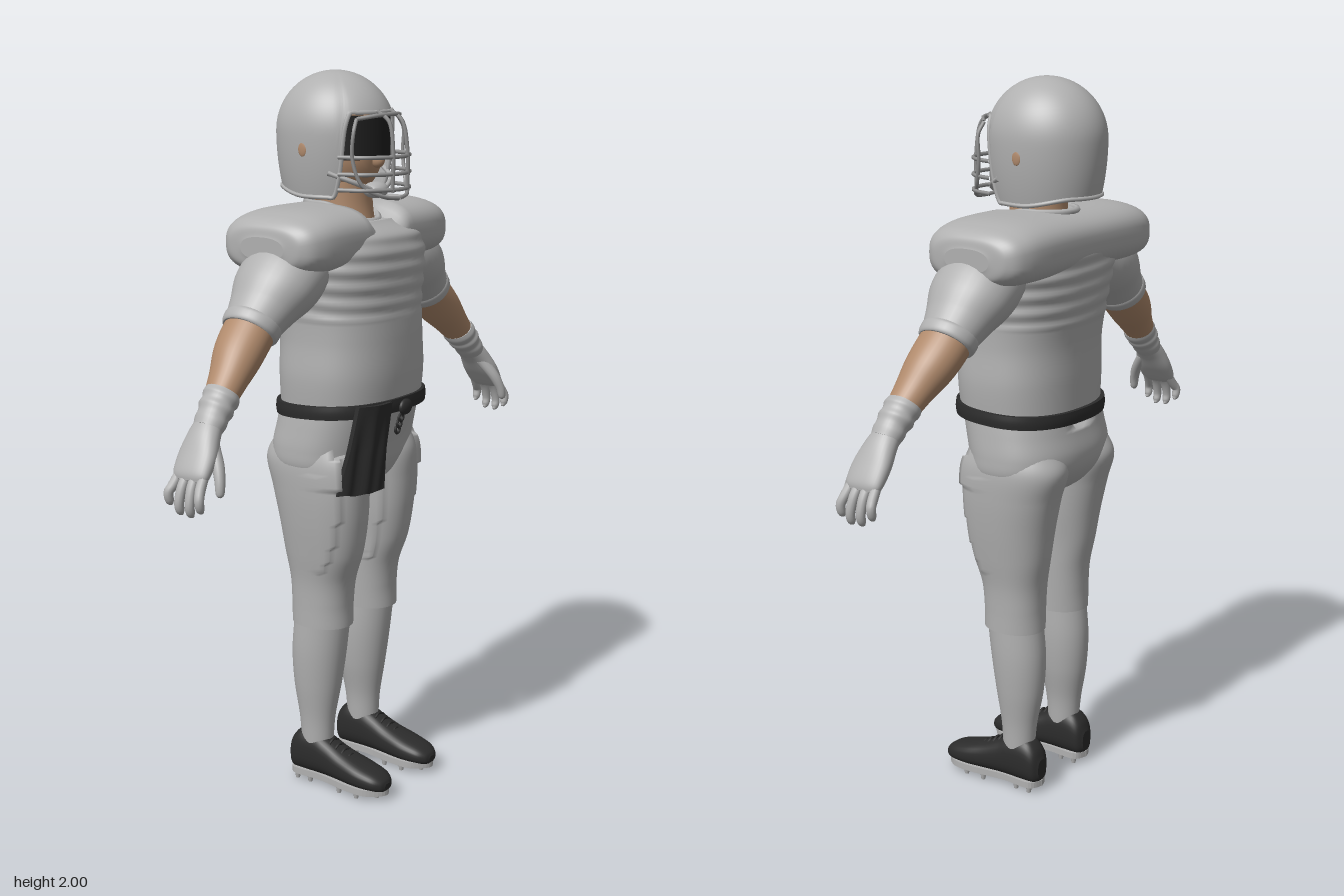
import * as THREE from 'three';

const mat = (name, color, double = false) => {
  const m = new THREE.MeshStandardMaterial({ color, side: double ? THREE.DoubleSide : THREE.FrontSide });
  m.name = name;
  return m;
};
const X = new THREE.Vector3(1, 0, 0), Z = new THREE.Vector3(0, 0, 1);
const V = (x, y, z) => new THREE.Vector3(x, y, z);
const step = (a, b, v) => THREE.MathUtils.smoothstep(v, a, b);

// Smooth loft through keys [x, y, z, halfU, halfV, roundness]; rings face the path, or a fixed direction.
function loft(keys, u, { rings = 32, segs = 32, dir = null, bend = null } = {}) {
  const path = new THREE.CatmullRomCurve3(keys.map(k => V(k[0], k[1], k[2])), false, 'catmullrom');
  const size = new THREE.CatmullRomCurve3(keys.map(k => V(k[3], k[4], k[5] ?? 2)), false, 'catmullrom');
  const pos = [], idx = [];
  const pw = (c, p) => Math.sign(c) * Math.abs(c) ** (2 / p);
  for (let i = 0; i <= rings; i++) {
    const c = path.getPoint(i / rings), r = size.getPoint(i / rings);
    const v = u.clone().cross(dir ?? path.getTangent(i / rings)).normalize();
    for (let j = 0; j < segs; j++) {
      const a = j / segs * Math.PI * 2;
      const p = c.clone().addScaledVector(u, r.x * pw(Math.cos(a), r.z)).addScaledVector(v, r.y * pw(Math.sin(a), r.z));
      if (bend) bend(p);
      pos.push(p.x, p.y, p.z);
    }
  }
  for (let i = 0; i < rings; i++) for (let j = 0; j < segs; j++) {
    const a = i * segs + j, b = i * segs + (j + 1) % segs, c = a + segs, d = b + segs;
    idx.push(a, c, b, b, c, d);
  }
  // end caps with their own vertices
  for (const end of [0, rings]) {
    const start = pos.length / 3, mid = V(0, 0, 0);
    for (let j = 0; j < segs; j++) {
      const k = (end * segs + j) * 3;
      pos.push(pos[k], pos[k + 1], pos[k + 2]);
      mid.add(V(pos[k], pos[k + 1], pos[k + 2]));
    }
    mid.divideScalar(segs);
    pos.push(mid.x, mid.y, mid.z);
    for (let j = 0; j < segs; j++) {
      const a = start + j, b = start + (j + 1) % segs;
      end ? idx.push(start + segs, b, a) : idx.push(start + segs, a, b);
    }
  }
  const g = new THREE.BufferGeometry();
  g.setAttribute('position', new THREE.Float32BufferAttribute(pos, 3));
  g.setIndex(idx);
  g.computeVertexNormals();
  return g;
}
const tube = (pts, r, closed = false, n = 32) =>
  new THREE.TubeGeometry(new THREE.CatmullRomCurve3(pts.map(p => V(...p)), closed), n, r, 6, closed);

// Helmet dome: rows run from the crown to an edge that rises over the face
function helmetPoint(phi, s) {
  const f = Math.abs(phi);
  const low = THREE.MathUtils.lerp(1.895, 1.675 + 0.02 * step(1.6, 2.6, f), step(0.78, 1.02, f));
  const end = low > 1.84 ? Math.acos((low - 1.84) / 0.16) : Math.PI / 2 + (1.84 - low) / 0.16;
  const w = s * end, over = w - Math.PI / 2;
  const r = over < 0 ? Math.sin(w) : 1 - 0.13 * (over / 1.06) ** 2;
  return V(0.146 * r * Math.sin(phi), over < 0 ? 1.84 + 0.16 * Math.cos(w) : 1.84 - 0.16 * over, -0.047 + 0.167 * r * Math.cos(phi));
}
function helmetGeometry(cols = 120, rows = 28) {
  const pos = [], idx = [];
  for (let i = 0; i <= rows; i++) for (let j = 0; j < cols; j++)
    pos.push(...helmetPoint((j / cols - 0.5) * Math.PI * 2, i / rows));
  for (let i = 0; i < rows; i++) for (let j = 0; j < cols; j++) {
    const a = i * cols + j, b = i * cols + (j + 1) % cols, c = a + cols, d = b + cols;
    idx.push(a, c, b, b, c, d);
  }
  const g = new THREE.BufferGeometry();
  g.setAttribute('position', new THREE.Float32BufferAttribute(pos, 3));
  g.setIndex(idx);
  g.computeVertexNormals();
  return g;
}

export function createModel() {
  const root = new THREE.Group();
  root.name = 'footballPlayer';
  const gray = mat('uniformGray', 0xb0b0b0, true), skin = mat('skin', 0xb08a6c);
  const black = mat('black', 0x2c2c2c, true), visorMat = mat('visorDark', 0x1e1e1e, true);
  const steel = mat('maskGray', 0x909090);
  const add = (name, geo, m, parent = root) => {
    const mesh = new THREE.Mesh(geo, m);
    mesh.name = name;
    parent.add(mesh);
    return mesh;
  };
  const ball = (name, m, p, s, parent) => {
    const b = add(name, new THREE.SphereGeometry(1, 24, 16), m, parent);
    b.position.set(...p);
    b.scale.set(...s);
  };
  const up = V(0, 1, 0);

  // Jersey body with folds above the belt
  add('jersey', loft([[0, 1.1, 0.005, 0.208, 0.165, 2.4], [0, 1.2, 0.008, 0.215, 0.17, 2.4], [0, 1.3, 0.006, 0.21, 0.17, 2.4],
    [0, 1.4, -0.004, 0.214, 0.174, 2.5], [0, 1.5, -0.01, 0.228, 0.181, 2.6], [0, 1.57, -0.018, 0.22, 0.172, 2.6],
    [0, 1.61, -0.03, 0.17, 0.13, 2.5]], X, { rings: 80, segs: 56, dir: up, bend: p => {
    const k = 1 + 0.013 * step(1.36, 1.22, p.y) * Math.sin(p.y * 140 + p.x * 6 + Math.sin(p.z * 12));
    p.x *= k; p.z *= k;
  } }), gray);
  // Shoulder pads under the jersey, dipping at the neck
  add('shoulderPads', loft([[-0.338, 1.56, -0.035, 0.07, 0.03, 2.4], [-0.328, 1.562, -0.035, 0.12, 0.058, 2.6], [-0.29, 1.565, -0.034, 0.153, 0.076, 2.8],
    [-0.2, 1.57, -0.032, 0.168, 0.085, 2.8], [0, 1.572, -0.03, 0.168, 0.083, 2.8], [0.2, 1.57, -0.032, 0.168, 0.085, 2.8],
    [0.29, 1.565, -0.034, 0.153, 0.076, 2.8], [0.328, 1.562, -0.035, 0.12, 0.058, 2.6], [0.338, 1.56, -0.035, 0.07, 0.03, 2.4]],
  Z, { rings: 96, segs: 48, dir: X, bend: p => {
    if (p.y > 1.57) p.y -= 0.055 * Math.max(0, 1 - (p.x / 0.085) ** 2) * step(-0.03, 0.07, p.z);
  } }), gray);
  add('collar', tube([...Array(16)].map((_, i) => {
    const a = i / 16 * Math.PI * 2, z = Math.cos(a);
    return [Math.sin(a) * 0.082, 1.652 - 0.045 * step(0.1, 1, z), -0.025 + z * 0.105];
  }), 0.009, true, 64), gray);

  // Head and neck
  add('neck', loft([[0, 1.57, -0.02, 0.078, 0.095], [0, 1.65, -0.02, 0.075, 0.08], [0, 1.74, -0.02, 0.075, 0.08]], X, { dir: up }), skin);
  ball('head', skin, [0, 1.79, -0.022], [0.095, 0.125, 0.112]);
  ball('nose', skin, [0, 1.77, 0.09], [0.016, 0.022, 0.022]);

  // Helmet
  const helmet = new THREE.Group();
  helmet.name = 'helmet';
  root.add(helmet);
  add('helmetShell', helmetGeometry(), gray, helmet);
  add('helmetRim', tube([...Array(60)].map((_, i) => [...helmetPoint((i / 60 - 0.5) * Math.PI * 2, 1)]), 0.006, true, 160), gray, helmet);
  const visor = add('visor', new THREE.CylinderGeometry(1, 1, 0.115, 32, 1, true, -1.05, 2.1), visorMat, helmet);
  visor.scale.set(0.122, 1, 0.142);
  visor.position.set(0, 1.83, -0.033);
  ball('chinCup', gray, [0, 1.69, 0.085], [0.04, 0.022, 0.032], helmet);
  for (const y of [1.782, 1.738, 1.697])
    add('maskBar', tube([[-0.122, y, 0.05], [-0.1, y, 0.115], [-0.055, y, 0.155], [0, y, 0.168], [0.055, y, 0.155], [0.1, y, 0.115], [0.122, y, 0.05]], 0.0055), steel, helmet);
  add('maskTopBar', tube([[-0.095, 1.88, 0.09], [-0.05, 1.888, 0.125], [0, 1.89, 0.135], [0.05, 1.888, 0.125], [0.095, 1.88, 0.09]], 0.0055), steel, helmet);
  for (const s of [-1, 1]) {
    add('maskUpright', tube([[s * 0.03, 1.898, 0.112], [s * 0.03, 1.872, 0.148], [s * 0.033, 1.8, 0.163], [s * 0.035, 1.69, 0.163]], 0.0055), steel, helmet);
    add('maskFrame', tube([[s * 0.095, 1.88, 0.09], [s * 0.114, 1.85, 0.095], [s * 0.116, 1.78, 0.092], [s * 0.1, 1.71, 0.112], [s * 0.055, 1.68, 0.148], [0, 1.672, 0.16]], 0.0055), steel, helmet);
    add('chinStrap', tube([[s * 0.03, 1.692, 0.095], [s * 0.085, 1.715, 0.075], [s * 0.127, 1.74, 0.02]], 0.007), gray, helmet);
    ball('earHole', skin, [s * 0.143, 1.8, -0.05], [0.004, 0.02, 0.014], helmet);
  }

  // Hips with a cleft at the back
  add('pantsHips', loft([[0, 0.865, -0.02, 0.1, 0.06], [0, 0.9, -0.018, 0.185, 0.115, 2.3], [0, 0.95, -0.024, 0.217, 0.148, 2.4],
    [0, 1.0, -0.023, 0.221, 0.158, 2.4], [0, 1.06, -0.01, 0.215, 0.16, 2.4], [0, 1.12, 0.003, 0.207, 0.163, 2.4]],
  X, { rings: 40, segs: 64, dir: up, bend: p => {
    if (p.z < 0) p.z += 0.035 * Math.exp(-((p.x / 0.028) ** 2)) * step(1.07, 0.98, p.y);
  } }), gray);
  // Belt, knot and hanging lace
  add('belt', loft([[0, 1.094, 0.006, 0.221, 0.177, 2.4], [0, 1.112, 0.006, 0.223, 0.179, 2.4], [0, 1.13, 0.006, 0.221, 0.177, 2.4]],
    X, { rings: 4, segs: 64, dir: up, bend: p => { p.y += 0.05 * p.z; } }), black);
  ball('beltKnot', black, [0, 1.112, 0.186], [0.028, 0.022, 0.012]);
  for (let i = 0; i < 3; i++) {
    const loop = add('beltLace', new THREE.TorusGeometry(0.01, 0.004, 6, 14), black);
    loop.position.set(0, 1.08 - i * 0.018, 0.172 - i * 0.006);
  }
  // Towel hanging from the belt
  const towel = new THREE.BoxGeometry(1, 0.25, 0.012, 24, 16, 1), tp = towel.attributes.position;
  for (let i = 0; i < tp.count; i++) {
    const d = 0.125 - tp.getY(i), x = -0.122 + tp.getX(i) * (0.105 + 0.16 * d);
    const fold = 0.006 * Math.sin(x * 130) * Math.min(1, d * 8);
    tp.setXYZ(i, x, 1.138 - d + fold * 0.5, 0.185 - 0.15 * d - 6 * Math.min(0, x + 0.1) ** 2 + fold + tp.getZ(i));
  }
  towel.computeVertexNormals();
  add('towel', towel, black);

  for (const s of [-1, 1]) {
    const side = s > 0 ? 'left' : 'right';
    // Leg with thigh and knee pads
    const leg = new THREE.Group();
    leg.name = side + 'Leg';
    root.add(leg);
    add('pantsLeg', loft([[0.11, 1.02, -0.025, 0.095, 0.13], [0.113, 0.96, -0.026, 0.106, 0.155, 2.1], [0.114, 0.88, -0.015, 0.104, 0.143, 2.2],
      [0.112, 0.79, -0.008, 0.098, 0.13, 2.2], [0.11, 0.7, -0.008, 0.088, 0.115, 2.2], [0.106, 0.62, -0.014, 0.08, 0.094, 2.2],
      [0.106, 0.55, -0.016, 0.076, 0.088, 2.2], [0.107, 0.487, -0.016, 0.074, 0.089, 2.1]].map(([x, ...k]) => [s * x, ...k]),
    X, { rings: 90, segs: 48, dir: V(0, -1, 0), bend: p => {
      if (p.z < 0.02) return;
      const dx = Math.abs(p.x - s * 0.11), across = step(0.075, 0.05, dx);
      p.z += across * (0.012 * step(0.67, 0.72, p.y) * step(0.9, 0.85, p.y) + 0.012 * step(0.5, 0.53, p.y) * step(0.64, 0.61, p.y));
    } }), gray);
    add('sock', loft([[0.107, 0.51, -0.016, 0.069, 0.083], [0.107, 0.4, -0.028, 0.069, 0.081], [0.108, 0.3, -0.033, 0.061, 0.071],
      [0.111, 0.2, -0.033, 0.046, 0.054], [0.112, 0.12, -0.032, 0.041, 0.047]].map(([x, ...k]) => [s * x, ...k]), X, { dir: V(0, -1, 0) }), gray);
    // Shoe, sole and cleats
    add('shoe', loft([[-0.114, 0.07, 0.02, 0.03], [-0.1, 0.08, 0.037, 0.053], [-0.07, 0.091, 0.043, 0.065], [-0.02, 0.091, 0.044, 0.064],
      [0.02, 0.082, 0.045, 0.054], [0.07, 0.07, 0.049, 0.043], [0.13, 0.06, 0.053, 0.034], [0.18, 0.053, 0.046, 0.026],
      [0.205, 0.047, 0.03, 0.018], [0.213, 0.044, 0.013, 0.009]].map(([z, y, a, b]) => [s * 0.113, y, z, a, b, 2.5]), X, { rings: 50, dir: Z }), black, leg);
    const sole = new THREE.Shape(new THREE.SplineCurve([[0, 0.114], [0.037, 0.09], [0.036, 0], [0.05, -0.1], [0.046, -0.17], [0, -0.212],
      [-0.046, -0.17], [-0.05, -0.1], [-0.036, 0], [-0.037, 0.09], [0, 0.114]].map(p => new THREE.Vector2(...p))).getPoints(60));
    const plate = add('sole', new THREE.ExtrudeGeometry(sole, { depth: 0.018, bevelEnabled: false }), gray, leg);
    plate.rotation.x = -Math.PI / 2;
    plate.position.set(s * 0.113, 0.018, 0);
    for (const [x, z] of [[0.025, -0.085], [-0.025, -0.085], [0.025, -0.04], [-0.025, -0.04], [0.036, 0.07], [-0.036, 0.07], [0.036, 0.13], [-0.036, 0.13], [0, 0.175]])
      add('cleat', new THREE.CylinderGeometry(0.009, 0.006, 0.02, 10), gray, leg).position.set(s * 0.113 + x, 0.01, z);
    for (let i = 0; i < 5; i++) {
      const z = 0.025 + i * 0.02, y = 0.137 - i * 0.0105;
      add('shoeLace', tube([[s * 0.113 - 0.022, y - 0.008, z], [s * 0.113, y + 0.002, z], [s * 0.113 + 0.022, y - 0.008, z]], 0.004, false, 8), black, leg);
    }

    // Arm: sleeve, forearm, glove
    const arm = new THREE.Group();
    arm.name = side + 'Arm';
    root.add(arm);
    const limb = (name, keys, m, opt) => add(name, loft(keys.map(([x, ...k]) => [s * x, ...k]), Z, opt), m, arm);
    limb('sleeve', [[0.19, 1.51, -0.02, 0.1, 0.085], [0.255, 1.487, -0.02, 0.117, 0.1], [0.31, 1.45, -0.02, 0.115, 0.094],
      [0.36, 1.405, -0.021, 0.092, 0.077], [0.4, 1.368, -0.022, 0.076, 0.066]], gray);
    limb('sleeveCuff', [[0.385, 1.382, -0.022, 0.078, 0.068], [0.393, 1.374, -0.022, 0.082, 0.072], [0.407, 1.361, -0.022, 0.08, 0.07], [0.413, 1.355, -0.022, 0.074, 0.064]], gray, { rings: 12 });
    limb('forearm', [[0.36, 1.405, -0.022, 0.068, 0.06], [0.42, 1.348, -0.02, 0.072, 0.061], [0.47, 1.3, -0.014, 0.067, 0.058],
      [0.52, 1.25, -0.004, 0.053, 0.046], [0.58, 1.19, 0.006, 0.04, 0.036]], skin);
    limb('gloveCuff', [[0.545, 1.225, 0.002, 0.048, 0.042], [0.556, 1.213, 0.004, 0.051, 0.045], [0.567, 1.202, 0.005, 0.046, 0.041],
      [0.578, 1.19, 0.006, 0.049, 0.043], [0.59, 1.177, 0.008, 0.043, 0.038], [0.602, 1.163, 0.009, 0.045, 0.037], [0.615, 1.148, 0.01, 0.041, 0.033]], gray);
    limb('palm', [[0.605, 1.16, 0.009, 0.038, 0.031], [0.632, 1.13, 0.012, 0.047, 0.03, 2.2], [0.66, 1.09, 0.016, 0.056, 0.027, 2.4],
      [0.688, 1.05, 0.018, 0.055, 0.021, 2.5], [0.698, 1.032, 0.018, 0.046, 0.013, 2.4]], gray);
    [[0.056, 0.069, 0.965], [0.031, 0.038, 0.95], [0.005, 0.004, 0.952], [-0.02, -0.03, 0.972]].forEach(([z0, z1, tip]) => {
      limb('finger', [[0.682, 1.055, z0, 0.013, 0.013], [0.708, 1.02, (z0 + z1) / 2, 0.0135, 0.0135], [0.721, tip + 0.03, z1, 0.0125, 0.0125],
        [0.717, tip + 0.008, z1, 0.011, 0.011], [0.71, tip - 0.002, z1, 0.004, 0.004]], gray, { rings: 16, segs: 12 });
    });
    limb('thumb', [[0.628, 1.12, 0.035, 0.02, 0.018], [0.648, 1.075, 0.068, 0.018, 0.017], [0.662, 1.035, 0.086, 0.014, 0.014],
      [0.668, 1.005, 0.091, 0.011, 0.011], [0.669, 0.996, 0.091, 0.004, 0.004]], gray, { rings: 16, segs: 12 });
  }
  return root;
}
